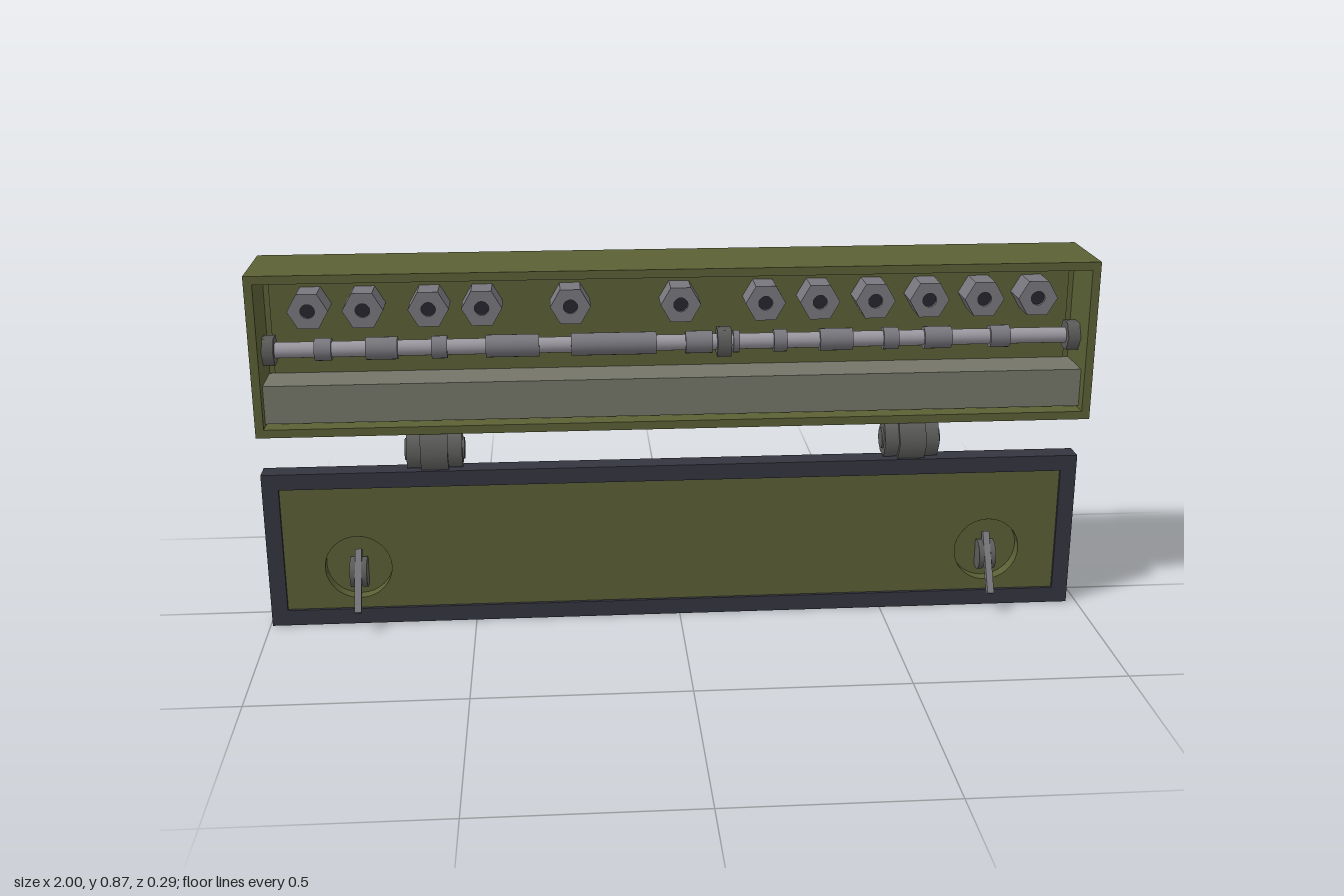
import * as THREE from 'three';

const mat = (color) => new THREE.MeshStandardMaterial({ color, flatShading: false });
const olive = mat(0x5b6035), dark = mat(0x34353f), steel = mat(0x77777d);
const rodGrey = mat(0x9b98a0), hingeGrey = mat(0x5c5c5b), black = mat(0x26262e), tray = mat(0x747668);

function add(parent, name, geometry, material, x = 0, y = 0, z = 0) {
  const mesh = new THREE.Mesh(geometry, material);
  mesh.name = name;
  mesh.position.set(x, y, z);
  parent.add(mesh);
  return mesh;
}

// Box given by its lower and upper limits
function box(parent, name, material, x0, x1, y0, y1, z0, z1) {
  return add(parent, name, new THREE.BoxGeometry(x1 - x0, y1 - y0, z1 - z0), material,
    (x0 + x1) / 2, (y0 + y1) / 2, (z0 + z1) / 2);
}

// Prism or cylinder lying along x; hexagons have flats on top and points to front and back
function alongX(radius, length, sides = 24) {
  const g = new THREE.CylinderGeometry(radius, radius, length, sides);
  return (sides === 6 ? g.toNonIndexed() : g).rotateZ(Math.PI / 2);
}

function rect(C, x0, x1, y0, y1) {
  return new C().moveTo(x0, y0).lineTo(x1, y0).lineTo(x1, y1).lineTo(x0, y1).closePath();
}

// Rectangular frame of border w between two z limits
function frame(parent, name, material, x0, x1, y0, y1, w, z0, z1) {
  const s = rect(THREE.Shape, x0, x1, y0, y1);
  s.holes.push(rect(THREE.Path, x0 + w, x1 - w, y0 + w, y1 - w));
  const g = new THREE.ExtrudeGeometry(s, { depth: z1 - z0, bevelEnabled: false });
  return add(parent, name, g, material, 0, 0, z0);
}

function makeHousing() {
  const g = new THREE.Group();
  g.name = 'housing';
  frame(g, 'housingWalls', olive, -1, 1, 0.48, 0.87, 0.02, -0.07, 0.075);
  box(g, 'housingBack', olive, -1, 1, 0.48, 0.87, -0.145, -0.07);
  box(g, 'backPlate', olive, -0.967, 0.967, 0.513, 0.837, -0.07, -0.065);
  box(g, 'tray', tray, -0.98, 0.98, 0.505, 0.598, -0.065, 0.045);

  // Row of hexagonal sockets with dark bores
  const sockets = [-0.869, -0.741, -0.588, -0.463, -0.254, 0.008, 0.211, 0.342, 0.476, 0.607, 0.741, 0.872];
  const ring = new THREE.Shape();
  for (let i = 0; i < 6; i++) {
    const a = i * Math.PI / 3;
    ring[i ? 'lineTo' : 'moveTo'](0.048 * Math.cos(a), 0.048 * Math.sin(a));
  }
  ring.closePath();
  ring.holes.push(new THREE.Path().absarc(0, 0, 0.017, 0, Math.PI * 2, true));
  const socketGeo = new THREE.ExtrudeGeometry(ring, { depth: 0.075, bevelEnabled: false, curveSegments: 10 });
  const boreGeo = new THREE.CircleGeometry(0.018, 20);
  for (const x of sockets) {
    add(g, 'socket', socketGeo, steel, x, 0.768, -0.065);
    add(g, 'socketBore', boreGeo, black, x, 0.768, 0.002);
  }

  // Rod with collars: [start, end]
  const y = 0.67, z = -0.012;
  add(g, 'rod', alongX(0.019, 1.96), rodGrey, 0, y, z);
  const collars = [[-0.86, -0.82], [-0.74, -0.665], [-0.585, -0.548], [-0.457, -0.33], [-0.254, -0.05],
    [0.02, 0.085], [0.135, 0.15], [0.233, 0.265], [0.345, 0.425], [0.5, 0.537], [0.6, 0.667], [0.762, 0.81]];
  for (const [a, b] of collars) add(g, 'collar', alongX(0.027, b - a), steel, (a + b) / 2, y, z);
  for (const x of [-0.97, 0.113, 0.967]) add(g, 'rodNut', alongX(0.038, 0.034, 6), hingeGrey, x, y, z);
  return g;
}

function makeLatch(x) {
  const g = new THREE.Group();
  g.name = 'latch';
  // Shallow round dish
  const wall = new THREE.CylinderGeometry(0.08, 0.08, 0.03, 32, 1, true).rotateX(Math.PI / 2);
  add(g, 'dishWall', wall, dishMat, 0, 0.145, 0.06);
  // Twin cam discs with the lever between them
  for (const s of [-1, 1]) add(g, 'camDisc', alongX(0.037, 0.013), hingeGrey, s * 0.014, 0.127, 0.06);
  const lever = add(g, 'lever', new THREE.BoxGeometry(0.016, 0.155, 0.017), steel, 0, 0.118, 0.097);
  lever.rotation.x = -0.55;
  g.position.x = x;
  return g;
}
const dishMat = new THREE.MeshStandardMaterial({ color: 0x5b6035, side: THREE.DoubleSide });

function makeDoor() {
  const g = new THREE.Group();
  g.name = 'door';
  frame(g, 'doorFrame', dark, -0.995, 0.975, 0, 0.39, 0.039, 0.03, 0.083);
  // Front skin with round openings over a back skin
  const s = rect(THREE.Shape, -0.956, 0.936, 0.039, 0.351);
  const latches = [-0.78, 0.765];
  for (const x of latches) s.holes.push(new THREE.Path().absarc(x, 0.145, 0.08, 0, Math.PI * 2, true));
  const skin = new THREE.ExtrudeGeometry(s, { depth: 0.03, bevelEnabled: false, curveSegments: 32 });
  add(g, 'doorPanel', skin, olive, 0, 0, 0.045);
  box(g, 'doorBackPanel', olive, -0.956, 0.936, 0.039, 0.351, 0.035, 0.045);
  for (const x of latches) g.add(makeLatch(x));
  return g;
}

function makeHinge(x) {
  const g = new THREE.Group();
  g.name = 'hinge';
  add(g, 'knuckle', alongX(0.058, 0.065, 6), hingeGrey);
  for (const s of [-1, 1]) {
    add(g, 'hingeNut', alongX(0.047, 0.034, 6), hingeGrey, s * 0.049);
    add(g, 'hingePin', alongX(0.026, 0.008), hingeGrey, s * 0.067);
  }
  g.position.set(x, 0.433, 0.04);
  return g;
}

export function createModel() {
  const model = new THREE.Group();
  model.name = 'cabinetWithDropDoor';
  model.add(makeHousing(), makeDoor(), makeHinge(-0.585), makeHinge(0.565));
  return model;
}
